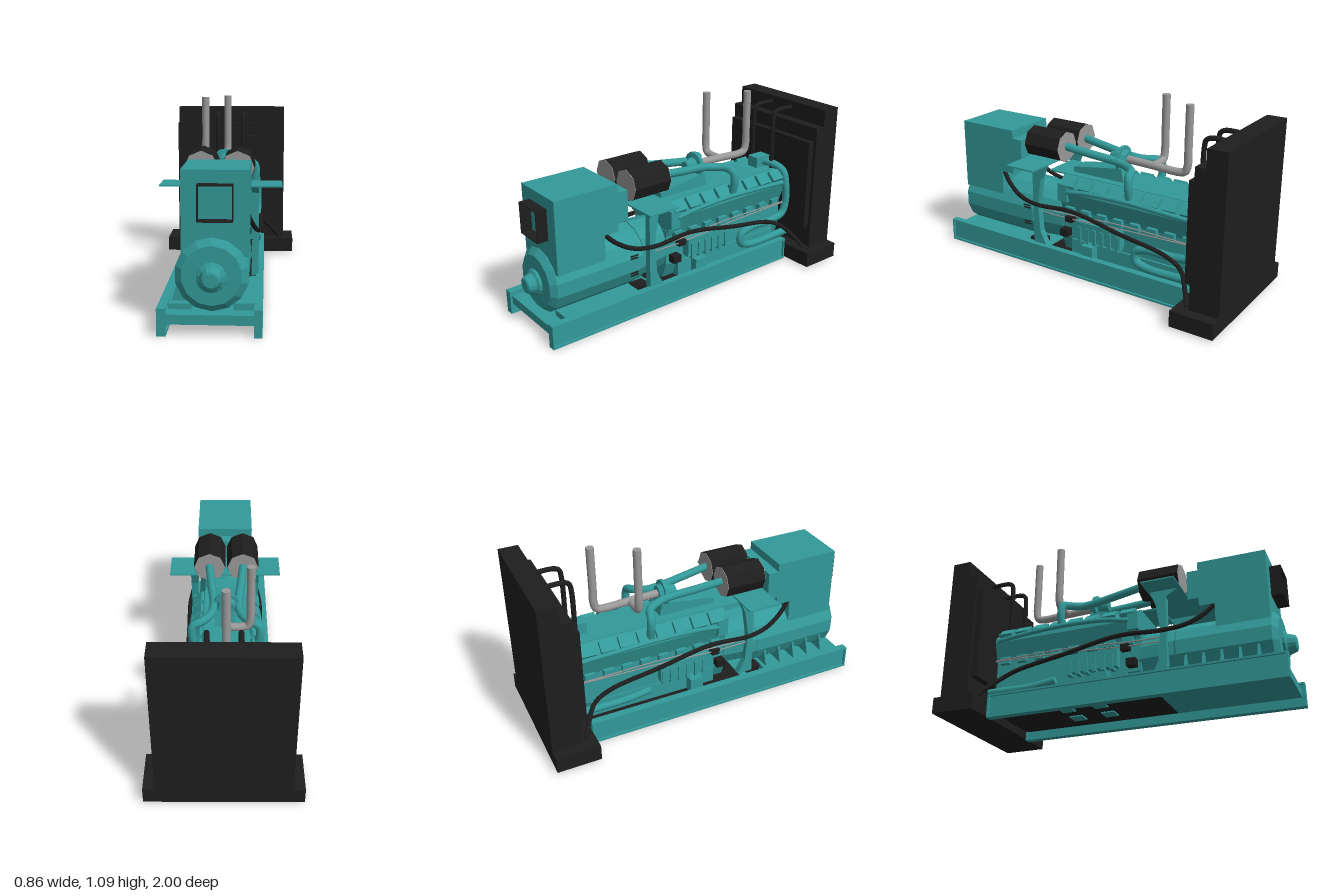
import * as THREE from 'three';

const mat = (name, color, flatShading = false) => {
  const m = new THREE.MeshStandardMaterial({ color, flatShading });
  m.name = name;
  return m;
};

export function createModel() {
  const teal = mat('teal paint', 0x339999);
  const black = mat('black', 0x1e1e1e);
  const grey = mat('grey metal', 0x999999);
  const root = new THREE.Group();

  const add = (name, geo, m) => {
    const mesh = new THREE.Mesh(geo, m);
    mesh.name = name;
    root.add(mesh);
    return mesh;
  };
  // Box given by its limits on each axis
  const box = (name, m, x0, x1, y0, y1, z0, z1) => {
    const g = new THREE.BoxGeometry(x1 - x0, y1 - y0, z1 - z0);
    g.translate((x0 + x1) / 2, (y0 + y1) / 2, (z0 + z1) / 2);
    return add(name, g, m);
  };
  const shapeOf = (pts) => new THREE.Shape(pts.map((p) => new THREE.Vector2(...p)));
  // Section in (x, y) extruded along z
  const alongZ = (name, m, pts, z0, z1) => {
    const g = new THREE.ExtrudeGeometry(shapeOf(pts), { depth: z1 - z0, bevelEnabled: false });
    return add(name, g.translate(0, 0, z0), m);
  };
  // Section in (z, y) extruded along x
  const alongX = (name, m, pts, x0, x1) => {
    const g = new THREE.ExtrudeGeometry(shapeOf(pts), { depth: x1 - x0, bevelEnabled: false });
    return add(name, g.rotateY(-Math.PI / 2).translate(x1, 0, 0), m);
  };
  // Round pipe through points, closed at both ends
  const pipe = (name, m, r, pts, sides = 10) => {
    const curve = new THREE.CatmullRomCurve3(pts.map((p) => new THREE.Vector3(...p)));
    add(name, new THREE.TubeGeometry(curve, pts.length * 8, r, sides), m);
    [0, 1].forEach((t) => {
      const cap = add(name + 'End', new THREE.CircleGeometry(r, sides), m);
      const p = curve.getPointAt(t);
      cap.position.copy(p);
      cap.lookAt(p.clone().addScaledVector(curve.getTangentAt(t), t ? 1 : -1));
    });
  };
  // Faceted drum along z from [radius, z] steps, front to back
  const drum = (name, m, x, y, steps, sides, turn = 0) => {
    const g = new THREE.LatheGeometry(steps.map((p) => new THREE.Vector2(p[0], p[1])), sides, turn);
    const flat = g.rotateX(Math.PI / 2).toNonIndexed();
    flat.computeVertexNormals();
    return add(name, flat.translate(x, y, 0), m);
  };
  const sides = [-1, 1];

  // Skid: two channel rails, deck and cross members
  [[-0.28, -0.235], [0.193, 0.235]].forEach(([a, b]) => {
    box('railWeb', teal, a + 0.012, b - 0.012, 0.01, 0.13, -0.74, 0.98);
    box('railTopFlange', teal, a, b, 0.128, 0.14, -0.74, 0.985);
    box('railBottomFlange', teal, a, b, 0, 0.012, -0.74, 0.985);
    box('railFrontPlate', teal, a, b, 0, 0.14, 0.975, 0.985);
    box('railRearPlate', teal, a, b, 0, 0.14, -0.74, -0.73);
  });
  box('frontDeck', teal, -0.25, 0.21, 0.055, 0.105, 0.25, 0.965);
  box('rearDeck', black, -0.25, 0.21, 0.055, 0.105, -0.74, 0.25);
  for (const x of [-0.1, 0.06]) for (const z of [-0.12, -0.32]) {
    box('drainPlate', teal, x - 0.04, x + 0.04, 0.047, 0.056, z - 0.04, z + 0.04);
  }

  // Radiator: base, core and stepped shroud
  box('radiatorBase', black, -0.43, 0.43, 0.01, 0.103, -1, -0.745);
  box('radiatorCore', black, -0.365, 0.365, 0.1, 1, -1, -0.885);
  box('radiatorShroud', black, -0.365, 0.365, 0.1, 0.895, -0.89, -0.825);
  box('fanGuard', black, -0.345, 0.345, 0.24, 0.81, -0.83, -0.785);

  // Alternator drum with stepped end bell and shaft cap
  drum('alternator', teal, -0.015, 0.29, [[0, 0.33], [0.18, 0.33], [0.18, 0.36], [0.185, 0.37],
    [0.185, 0.9], [0.15, 0.93], [0, 0.932]], 14);
  drum('shaftCap', teal, -0.015, 0.285, [[0.075, 0.92], [0.075, 0.945], [0.058, 0.955],
    [0.045, 0.995], [0.035, 1], [0, 1]], 14);
  [0.33, 0.345, 0.24, 0.225].forEach((y) => box('ventSlot', black, 0.164, 0.172, y, y + 0.006, 0.38, 0.43));
  for (let i = 0; i < 5; i++) {
    const z = 0.42 + i * 0.1;
    alongZ('alternatorGusset', teal, [[-0.23, 0.105], [-0.1, 0.105], [-0.15, 0.29], [-0.175, 0.29]], z, z + 0.012);
  }
  box('alternatorFoot', teal, -0.235, -0.12, 0.105, 0.135, 0.4, 0.88);
  box('alternatorFoot', teal, 0.09, 0.195, 0.105, 0.14, 0.4, 0.88);
  sides.forEach((s) => box('rubberMount', black, s * 0.14 - 0.055, s * 0.14 + 0.02, 0.103, 0.138, 0.3, 0.39));

  // Control cabinet above the alternator, with an open panel hood
  alongX('controlCabinet', teal, [[0.895, 0.38], [0.895, 0.805], [0.505, 0.805], [0.505, 0.755], [0.44, 0.755],
    [0.44, 0.58], [0.505, 0.58], [0.505, 0.53], [0.595, 0.53], [0.595, 0.38]].reverse(), -0.167, 0.167);
  box('hoodTop', black, -0.085, 0.09, 0.735, 0.74, 0.89, 0.96);
  box('hoodBottom', black, -0.085, 0.09, 0.56, 0.565, 0.89, 0.96);
  box('hoodSide', black, -0.085, -0.08, 0.56, 0.74, 0.89, 0.96);
  box('hoodSide', black, 0.085, 0.09, 0.56, 0.74, 0.89, 0.96);

  // Filter platform on two flared columns
  box('filterPlatform', teal, -0.335, 0.335, 0.645, 0.653, 0.22, 0.415);
  sides.forEach((s) => {
    const x = s * 0.187;
    alongX('platformColumn', teal, [[0.325, 0.13], [0.23, 0.13], [0.275, 0.22], [0.29, 0.4],
      [0.265, 0.56], [0.23, 0.645], [0.395, 0.645], [0.325, 0.6]].reverse(), x - 0.02, x + 0.02);
  });

  // Flywheel housing, crankcase and V-shaped upper block
  drum('flywheelHousing', teal, -0.01, 0.3, [[0, 0.15], [0.16, 0.15], [0.175, 0.33], [0, 0.335]], 14);
  alongZ('crankcase', teal, [[-0.12, 0.1], [0.1, 0.1], [0.14, 0.2], [0.14, 0.42], [-0.16, 0.42], [-0.16, 0.2]], -0.76, 0.16);
  alongZ('cylinderBanks', teal, [[-0.155, 0.38], [0.14, 0.38], [0.18, 0.5], [0.175, 0.53],
    [0.12, 0.585], [-0.135, 0.585], [-0.19, 0.53], [-0.195, 0.5]], -0.765, 0.155);
  box('topPlate', teal, -0.12, 0.105, 0.58, 0.588, -0.78, 0.27);
  alongX('intakePlenum', teal, [[0.13, 0.58], [0.13, 0.62], [-0.2, 0.67], [-0.22, 0.58]].reverse(), -0.06, 0.055);

  // Details along each side of the engine
  sides.forEach((s) => {
    const cx = -0.008;
    const at = (x) => cx + s * x;
    for (let i = 0; i < 8; i++) {
      const z = 0.085 - i * 0.112;
      const cover = box('valveCover', teal, -0.035, 0.035, -0.02, 0.02, -0.042, 0.042);
      cover.position.set(at(0.16), 0.555, z);
      cover.rotation.z = -s * 0.75;
      box('injectorBlock', teal, at(0.16) - 0.02, at(0.16) + 0.02, 0.36, 0.405, z - 0.03, z + 0.03);
    }
    pipe('exhaustManifold', teal, 0.014, [[at(0.185), 0.5, 0.1], [at(0.195), 0.525, -0.05],
      [at(0.198), 0.535, -0.3], [at(0.195), 0.525, -0.55], [at(0.185), 0.51, -0.75]]);
    [0.36, 0.385].forEach((y, i) => pipe('fuelLine', grey, 0.004, [[at(0.185), y - 0.02, 0.3],
      [at(0.19), y - 0.02, 0.1], [at(0.192), y, -0.25], [at(0.192), y + 0.015 - i * 0.02, -0.75]], 6));
    // Oil cooler with ribs
    box('oilCooler', teal, at(0.165) - 0.03, at(0.165) + 0.03, 0.23, 0.34, -0.28, 0.03);
    for (let i = 0; i < 6; i++) {
      const z = 0.0 - i * 0.052;
      box('coolerRib', teal, at(0.175) - 0.028, at(0.175) + 0.028, 0.215, 0.31, z - 0.014, z + 0.008);
    }
    box('sump', teal, at(0.12) - 0.04, at(0.12) + 0.04, 0.1, 0.2, -0.7, 0.08);
    box('frontBracket', teal, at(0.17) - 0.025, at(0.17) + 0.025, 0.44, 0.55, 0.09, 0.155);
    box('engineFoot', teal, at(0.17) - 0.05, at(0.17) + 0.04, 0.1, 0.2, -0.1, -0.02);
    box('starterRelay', black, at(0.18) - 0.02, at(0.18) + 0.02, 0.32, 0.355, 0.05, 0.1);
    box('starterMotor', black, at(0.175) - 0.025, at(0.175) + 0.025, 0.22, 0.265, 0.085, 0.14);

    // Power cable from cabinet to radiator base
    pipe('powerCable', black, 0.013, [[s * 0.15, 0.54, 0.6], [s * 0.175, 0.47, 0.53], [s * 0.2, 0.415, 0.43],
      [s * 0.218, 0.395, 0.3], [s * 0.215, 0.405, 0.03], [s * 0.215, 0.345, -0.3], [s * 0.215, 0.29, -0.6],
      [s * 0.23, 0.24, -0.7], [s * 0.29, 0.17, -0.76], [s * 0.34, 0.1, -0.8]], 8);
    // Vent hose at the top of the radiator
    pipe('radiatorHose', black, 0.014, [[s * 0.085, 0.96, -0.89], [s * 0.085, 0.96, -0.77], [s * 0.085, 0.945, -0.742],
      [s * 0.085, 0.9, -0.733], [s * 0.085, 0.58, -0.733]]);
    // Air filter canister with pale end faces
    const fx = at(0.099);
    drum('airFilter', black, fx, 0.747, [[0, 0.155], [0.094, 0.155], [0.094, 0.395], [0, 0.395]], 8);
    drum('filterFrontFace', grey, fx, 0.747, [[0, 0.394], [0.092, 0.394], [0.092, 0.398], [0, 0.398]], 8);
    drum('filterRearFace', grey, fx, 0.747, [[0, 0.152], [0.092, 0.152], [0.092, 0.156], [0, 0.156]], 8);
    // Air duct from filter to cylinder bank
    pipe('airDuct', teal, 0.024, [[at(0.1), 0.75, 0.16], [at(0.085), 0.73, 0], [at(0.07), 0.71, -0.18],
      [at(0.085), 0.7, -0.25], [at(0.13), 0.695, -0.31], [at(0.18), 0.675, -0.325],
      [at(0.19), 0.63, -0.33], [at(0.175), 0.54, -0.33]]);
  });

  // Turbocharger and exhaust stacks
  drum('turbocharger', teal, -0.01, 0.712, [[0, -0.21], [0.045, -0.21], [0.055, -0.185], [0.075, -0.185],
    [0.075, -0.165], [0.045, -0.16], [0.03, -0.1], [0, -0.1]], 14);
  pipe('rearExhaust', grey, 0.023, [[-0.01, 0.712, -0.2], [-0.01, 0.706, -0.38], [-0.01, 0.7, -0.54],
    [-0.01, 0.71, -0.578], [-0.01, 0.75, -0.592], [-0.01, 0.85, -0.592], [-0.01, 1.092, -0.592]], 14);
  pipe('sideExhaust', grey, 0.023, [[-0.01, 0.705, -0.375], [-0.09, 0.705, -0.375], [-0.128, 0.716, -0.375],
    [-0.14, 0.76, -0.375], [-0.14, 0.85, -0.375], [-0.14, 1.092, -0.375]], 14);

  // Thermostat housing and coolant pipework
  box('thermostatHousing', teal, -0.04, 0.04, 0.585, 0.655, -0.76, -0.65);
  pipe('coolantPipe', teal, 0.024, [[0.02, 0.62, -0.715], [0.1, 0.615, -0.74], [0.16, 0.58, -0.765], [0.185, 0.5, -0.77],
    [0.19, 0.37, -0.77], [0.19, 0.305, -0.74], [0.19, 0.285, -0.65], [0.19, 0.28, -0.45], [0.19, 0.255, -0.39],
    [0.19, 0.2, -0.39], [0.19, 0.172, -0.45], [0.19, 0.17, -0.78]]);
  pipe('coolantPipe', teal, 0.022, [[-0.2, 0.2, -0.35], [-0.2, 0.18, -0.5], [-0.2, 0.18, -0.78]]);
  const hub = drum('fanHub', teal, -0.01, 0.42, [[0, -0.82], [0.1, -0.82], [0.13, -0.75], [0, -0.75]], 14);
  hub.name = 'fanHub';

  return root;
}
